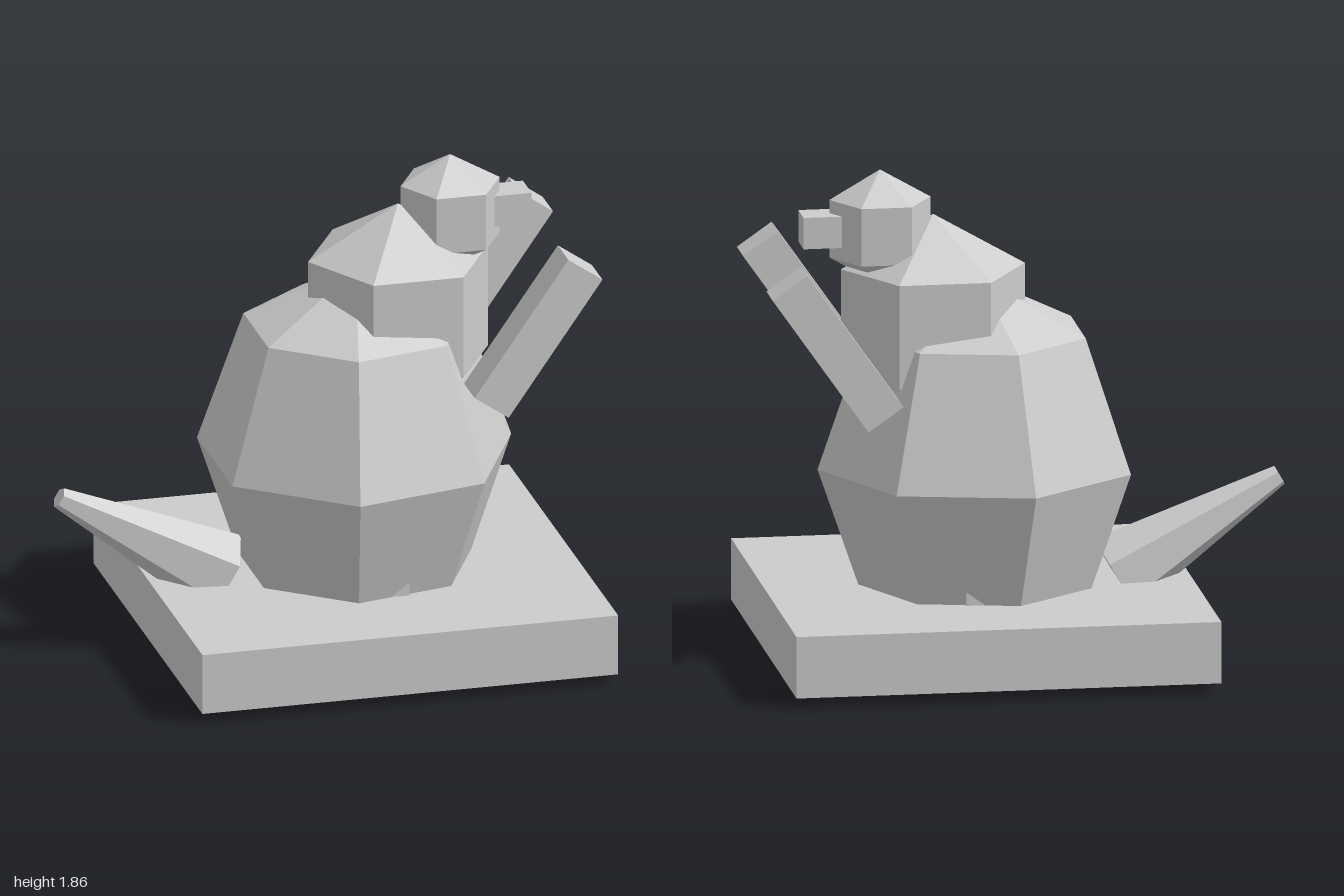
import * as THREE from 'three';

export function createModel() {
  const model = new THREE.Group();
  model.name = 'animalFigure';
  const clay = new THREE.MeshStandardMaterial({ color: 0xcccccc, flatShading: true, side: THREE.DoubleSide });
  clay.name = 'plainGrey';

  function add(name, geometry, x, y, z = 0, tilt = 0) {
    const mesh = new THREE.Mesh(geometry, clay);
    mesh.name = name;
    mesh.position.set(x, y, z);
    mesh.rotation.z = tilt;
    model.add(mesh);
    return mesh;
  }

  // Hollow plinth, open underneath (the box's downward face is dropped)
  const plinth = new THREE.BoxGeometry(1.6, 0.235, 1.6);
  const index = Array.from(plinth.index.array);
  index.splice(18, 6);
  plinth.setIndex(index);
  plinth.clearGroups();
  add('plinth', plinth, 0.162, 0.1625);

  // Seven-sided belly with one corner facing +x; its lower tip pokes through the plinth
  const belly = new THREE.SphereGeometry(0.6, 7, 4);
  belly.rotateY(Math.PI);
  belly.scale(1, 1.2, 1);
  add('belly', belly, 0.16, 0.725);

  // Six-sided chest and head, with a square snout
  add('chest', new THREE.SphereGeometry(0.4, 6, 3), 0.325, 1.288);
  add('head', new THREE.SphereGeometry(0.22, 6, 3), 0.525, 1.645);
  add('snout', new THREE.BoxGeometry(0.2, 0.12, 0.13), 0.722, 1.645);

  // Raised arms and the small feet mostly hidden by the belly
  for (const [label, side] of [['right', 1], ['left', -1]]) {
    add(label + 'Arm', new THREE.BoxGeometry(0.16, 0.63, 0.155), 0.75, 1.27, side * 0.362, -0.61);
    add(label + 'Foot', new THREE.BoxGeometry(0.2, 0.12, 0.2), 0.162, 0.341, side * 0.306);
  }

  // Tapered six-sided tail with a ridge along the top
  const tail = new THREE.CylinderGeometry(0.04, 0.16, 0.716, 6, 1, false, Math.PI / 2);
  add('tail', tail, -0.67, 0.463, 0, Math.PI / 3);

  return model;
}
